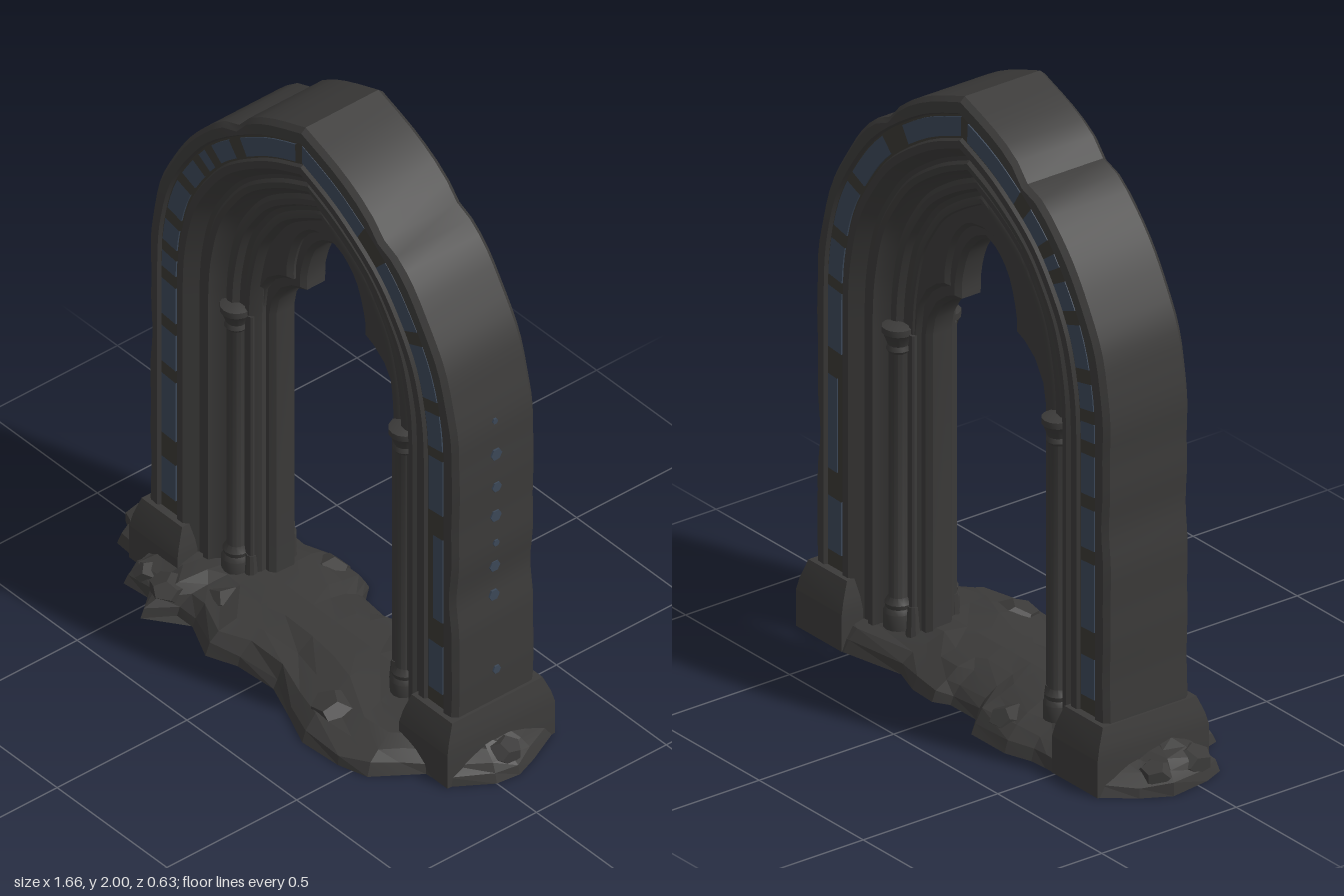
import * as THREE from 'three';
import { toCreasedNormals } from 'three/addons/utils/BufferGeometryUtils.js';

const MID_Z = -0.08, SHIFT_X = 0.02;
const STRAIGHT = 24, CURVED = 24, N = STRAIGHT + CURVED;
const FOOT = 0.05, SPRING = 1.12;
const V = (x, y) => new THREE.Vector2(x, y);

const stone = new THREE.MeshStandardMaterial({ color: 0x3b3a39 });
stone.name = 'dark stone';
const blue = new THREE.MeshStandardMaterial({ color: 0x3b4757 });
blue.name = 'slate blue';
const mortar = new THREE.MeshStandardMaterial({ color: 0x393732 });
mortar.name = 'mortar';

let seed = 7;
const rand = () => (seed = (seed * 16807) % 2147483647) / 2147483647;

function add(parent, name, geometry, material, crease = 0.6) {
  const mesh = new THREE.Mesh(toCreasedNormals(geometry, crease), material);
  mesh.name = name;
  parent.add(mesh);
}

// half outlines of the pointed arch, foot to apex
function halfOutline(arc) {
  const [x, top] = arc[0], pts = [];
  for (let i = 0; i < STRAIGHT; i++) pts.push(V(x, FOOT + (top - FOOT) * i / STRAIGHT));
  const curve = new THREE.SplineCurve(arc.map(p => V(...p)));
  return pts.concat(curve.getPoints(CURVED));
}
const OUTER = halfOutline([[0.703, SPRING], [0.694, 1.27], [0.648, 1.45], [0.552, 1.62], [0.42, 1.77], [0.2, 1.92], [0, 2]]);
const INNER = halfOutline([[0.34, 1.08], [0.33, 1.2], [0.295, 1.35], [0.24, 1.45], [0.18, 1.525], [0.09, 1.59], [0, 1.64]]);
const DEPTH = 0.36;

// point on the arch: i = -N (left foot) .. 0 (apex) .. N (right foot), d = distance in from the rim
function archPoint(i, d) {
  const p = OUTER[N - Math.abs(i)].clone().lerp(INNER[N - Math.abs(i)], d / DEPTH);
  if (i < 0) p.x *= -1;
  return p;
}

// worn rim: shallow waves with a chipped notch on each shoulder
function wear(i) {
  const wave = 0.003 * (1 + Math.sin(i * 0.8) * Math.sin(i * 0.37 + 1));
  const notch = (at, depth, w) => depth * Math.exp(-(((i - at) / w) ** 2));
  const edge = Math.abs(i) < 6 ? 0 : wave;
  return edge + notch(-6, 0.024, 0.7) + notch(7, 0.018, 0.7) + notch(35, 0.012, 2) + notch(-30, 0.006, 2);
}

// sweep a closed moulding section [d, half thickness] along the arch
function sweep(section, from, to, worn = false) {
  const loop = [...section, ...section.map(([d, h]) => [d, -h]).reverse()];
  const m = loop.length, pos = [], index = [];
  for (let i = from; i <= to; i++) {
    for (const [d, z] of loop) {
      const p = archPoint(i, worn && d < 0.03 ? d + wear(i) : d);
      pos.push(p.x, p.y, z);
    }
  }
  for (let i = 0; i < to - from; i++) {
    for (let j = 0; j < m; j++) {
      const a = i * m + j, b = i * m + (j + 1) % m;
      index.push(a, b, b + m, a, b + m, a + m);
    }
  }
  const g = new THREE.BufferGeometry();
  g.setAttribute('position', new THREE.Float32BufferAttribute(pos, 3));
  g.setIndex(index);
  return g;
}

// trefoil-headed plate between two depths, filling the space inside the mouldings
function traceryPlate(grow, back, front) {
  const shape = [];
  for (let i = -N; i <= N; i++) shape.push(archPoint(i, 0.335));
  const head = new THREE.SplineCurve([V(0.134, 1.255), V(0.132, 1.32), V(0.1, 1.42), V(0.05, 1.48), V(0, 1.505)]);
  const side = [V(0.274, FOOT), V(0.274, 1.08), V(0.262, 1.14), V(0.225, 1.2), V(0.18, 1.235), ...head.getPoints(10)]
    .map(p => V(p.x + (p.x > 0 ? grow : 0), p.y + (p.y > 1.1 ? grow : 0)));
  shape.push(...side, ...side.slice(0, -1).reverse().map(p => V(-p.x, p.y)));
  const bevel = 0.015;
  const g = new THREE.ExtrudeGeometry(new THREE.Shape(shape), {
    depth: front - back - 2 * bevel, bevelThickness: bevel, bevelSize: bevel, bevelOffset: -bevel, bevelSegments: 1,
  });
  return g.translate(0, 0, back + bevel);
}

// low irregular rock slab, shrunk in rings towards a ridge
function rubbleSlab() {
  const rim = [[-.83, -.1], [-.78, -.19], [-.7, -.285], [-.45, -.285], [-.39, -.29], [-.3, -.32], [-.14, -.32], [-.08, -.25],
    [.05, -.25], [.1, -.28], [.2, -.275], [.3, -.24], [.52, -.285], [.74, -.285], [.8, -.16], [.83, -.08], [.82, 0], [.74, .12],
    [.65, .13], [.6, .2], [.55, .27], [.45, .3], [.3, .31], [.18, .26], [.05, .21], [-.1, .22], [-.2, .26], [-.33, .2],
    [-.4, .2], [-.46, .29], [-.52, .21], [-.62, .22], [-.65, .12], [-.78, .11], [-.81, .04]];
  const rings = [[1, 0], [0.99, 0.035], [0.85, 0.065], [0.65, 0.09], [0.4, 0.108], [0, 0.12]];
  const m = rim.length, pos = [], index = [];
  rings.forEach(([f, y], k) => rim.forEach(([x, z]) => {
    const loose = k > 0 && k < 5;
    const s = loose ? f - 0.06 * rand() : f;
    pos.push(x * (0.8 + 0.2 * s), y + (loose ? (rand() - 0.5) * 0.02 : 0), -0.04 + (z + 0.04) * s);
  }));
  for (let k = 0; k < rings.length - 1; k++) {
    for (let i = 0; i < m; i++) {
      const a = k * m + i, b = k * m + (i + 1) % m;
      index.push(a, b + m, b, a, a + m, b + m);
    }
  }
  // underside
  const c = pos.length / 3;
  pos.push(0, 0, -0.04);
  for (let i = 0; i < m; i++) index.push(c, i, (i + 1) % m);
  const g = new THREE.BufferGeometry();
  g.setAttribute('position', new THREE.Float32BufferAttribute(pos, 3));
  g.setIndex(index);
  return g;
}

export function createModel() {
  const model = new THREE.Group();
  model.name = 'pointedArchway';
  const arch = new THREE.Group();
  arch.name = 'arch';
  arch.position.set(SHIFT_X, 0, MID_Z);
  model.add(arch);

  // stepped mouldings with a groove for the inlay
  add(arch, 'archMouldings', sweep([
    [0, 0.14], [0.015, 0.157], [0.05, 0.16], [0.058, 0.146], [0.132, 0.146], [0.14, 0.16], [0.165, 0.16],
    [0.18, 0.145], [0.2, 0.125], [0.215, 0.122], [0.225, 0.132], [0.245, 0.13], [0.255, 0.11], [0.28, 0.09],
    [0.295, 0.098], [0.315, 0.098], [0.328, 0.08], [0.345, 0.075], [0.355, 0.08], [0.37, 0.08],
    [0.385, 0.065], [0.395, 0.05]], -N, N, true), stone, 0.5);
  add(arch, 'inlayMortar', sweep([[0.056, 0.149], [0.134, 0.149]], -N, N), mortar);

  // blue inlay stones: range along the arch and inner edge
  const stones = [[-43, -40], [-38, -33], [-32, -29], [-28, -25], [-24, -22], [-21, -19], [-18, -15], [-14, -12], [-11, -10],
    [-9, -7], [-6, -1], [0, 6], [8, 13], [14, 18], [19, 22], [23, 28], [30, 37, 0.105], [39, 43]];
  for (const [a, b, edge = 0.126] of stones) add(arch, 'inlayStone', sweep([[0.063, 0.154], [edge, 0.154]], a, b), blue);

  // tracery, set slightly towards the back
  add(arch, 'outerTracery', traceryPlate(0.032, -0.075, 0.06), stone);
  add(arch, 'innerTracery', traceryPlate(0, -0.062, 0.036), stone);

  // columns and slender shafts on both faces
  const column = [[0.046, 0.1], [0.046, 0.15], [0.038, 0.165], [0.042, 0.18], [0.03, 0.2], [0.03, 1.0], [0.037, 1.01],
    [0.032, 1.025], [0.045, 1.06], [0.05, 1.065], [0.05, 1.085], [0, 1.1]].map(p => V(...p));
  // plinth section, as a four-sided lathe
  const plinth = [[1, 0], [1, 0.12], [0.95, 0.16], [0.84, 0.215], [0, 0.22]].map(([r, y]) => V(r * Math.SQRT2, y));
  for (const sx of [-1, 1]) {
    for (const z of [-0.09, 0.082]) {
      add(arch, 'column', new THREE.LatheGeometry(column, 14).translate(sx * 0.384, 0, z), stone);
      add(arch, 'slenderShaft', new THREE.CylinderGeometry(0.013, 0.013, 1, 10).translate(sx * 0.33, 0.57, z * 0.85), stone);
      add(arch, 'shaftFoot', new THREE.CylinderGeometry(0.016, 0.024, 0.1, 10).translate(sx * 0.33, 0.13, z * 0.85), stone);
    }
    add(arch, 'plinth', new THREE.LatheGeometry(plinth, 4, Math.PI / 4).scale(0.11, 1, 0.207)
      .translate(sx * 0.615, 0, 0), stone, 0.2);
  }

  // small blue chips set in the worn side
  for (const [y, r] of [[0.33, 0.015], [0.6, 0.02], [0.71, 0.02], [0.8, 0.012], [0.9, 0.021], [1.01, 0.018], [1.13, 0.021], [1.25, 0.01]]) {
    const i = N - STRAIGHT * (y - FOOT) / (SPRING - FOOT);
    const x = (y > 1.2 ? 0.697 : 0.704) - wear(i);
    add(arch, 'sideChip', new THREE.CylinderGeometry(r, r, 0.008, 6).rotateZ(Math.PI / 2).translate(x, y, 0), blue);
  }

  // rubble footing and loose rocks
  add(model, 'rubbleSlab', rubbleSlab(), stone, 0.15);
  const rocks = [[-0.75, 0.055, 0.02, 0.07], [-0.76, 0.055, -0.11, 0.06], [0.765, 0.06, -0.07, 0.06], [-0.46, 0.06, 0.18, 0.065],
    [-0.57, 0.045, 0.16, 0.055], [-0.3, 0.06, 0.09, 0.07], [0.3, 0.06, 0.18, 0.08], [-0.22, 0.055, -0.23, 0.07]];
  for (const [x, y, z, r] of rocks) {
    const g = new THREE.DodecahedronGeometry(r).rotateY(rand() * 6).scale(1, 0.65, 1).translate(x, y, z);
    add(model, 'looseRock', g, stone, 0.15);
  }
  return model;
}
